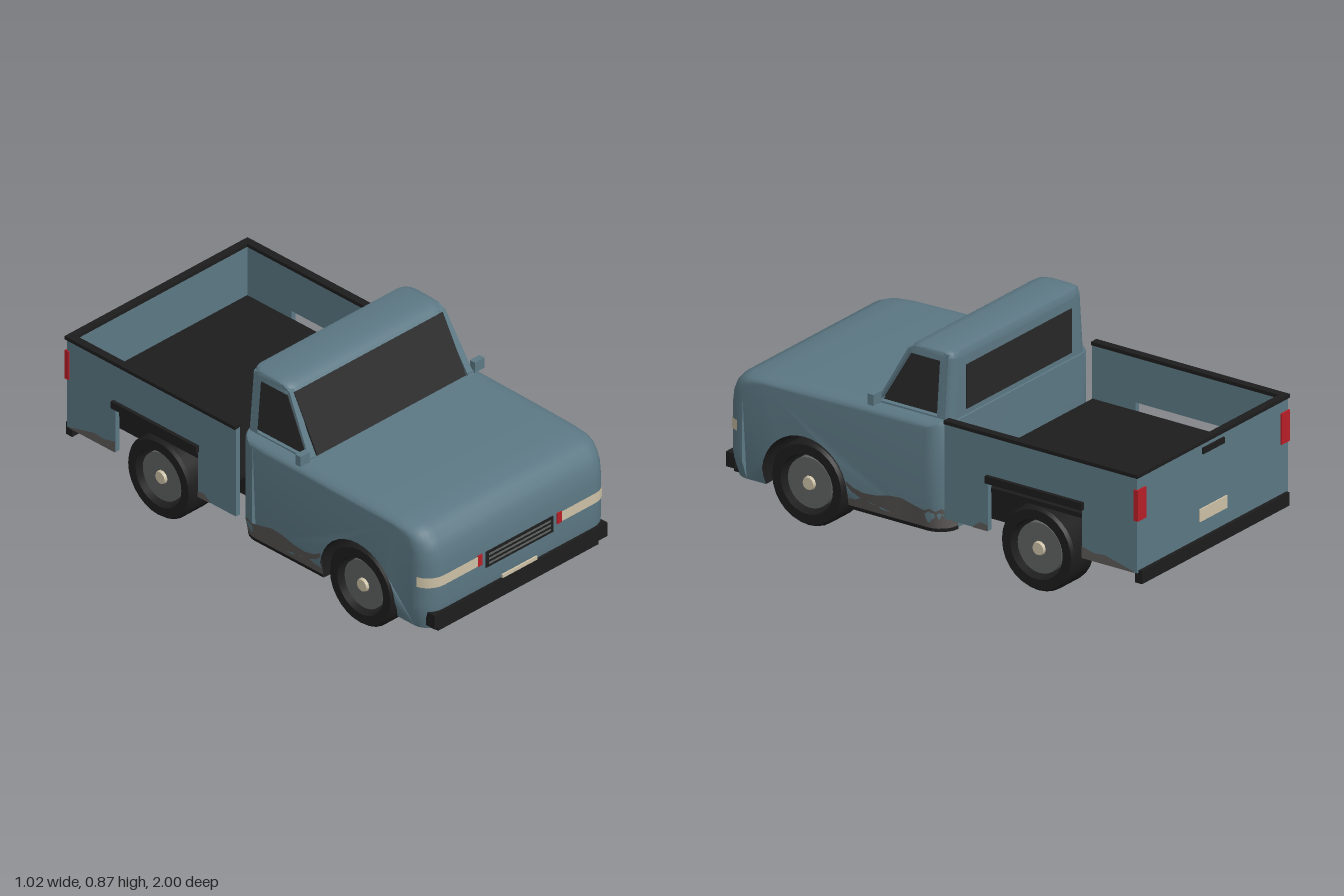
import * as THREE from 'three';
import { toCreasedNormals } from 'three/addons/utils/BufferGeometryUtils.js';

const paint = (name, color) => Object.assign(new THREE.MeshStandardMaterial({ color }), { name });
const clamp = THREE.MathUtils.clamp;
const FRONT = 0.99, REAR = -0.055, HALF = 0.5, R = 0.085;

export function createModel() {
  const truck = new THREE.Group();
  truck.name = 'pickupTruck';
  const blue = paint('bodyBlue', 0x5c7884), black = paint('trimBlack', 0x1d1d1d);
  const glass = paint('darkGlass', 0x272727), grey = paint('hubGrey', 0x606262);
  const cream = paint('lampCream', 0xcdc1a6), red = paint('lampRed', 0xb81e26);
  const dirt = paint('dirt', 0x5d5a58);

  const add = (name, geo, mat) => {
    const mesh = new THREE.Mesh(geo, mat);
    mesh.name = name;
    truck.add(mesh);
    return mesh;
  };
  // box given by its minimum and maximum corners
  const box = (name, mat, x0, x1, y0, y1, z0, z1) =>
    add(name, new THREE.BoxGeometry(x1 - x0, y1 - y0, z1 - z0)
      .translate((x0 + x1) / 2, (y0 + y1) / 2, (z0 + z1) / 2), mat);
  const boxPair = (name, mat, x0, x1, ...rest) => {
    box(name + 'Left', mat, x0, x1, ...rest);
    box(name + 'Right', mat, -x1, -x0, ...rest);
  };
  const bend = (geo, rule) => {
    const p = geo.attributes.position;
    for (let i = 0; i < p.count; i++) p.setX(i, p.getX(i) * rule(p.getY(i)));
    return geo;
  };
  const sillTaper = y => 1 - 0.04 * clamp((0.2 - y) / 0.07, 0, 1);
  const cabTaper = y => 1 - 0.2 * (y - 0.585);

  // side profile [z, y] swept across x, with rounded front, rear and top edges
  function sweep(profile, half, r, rFront, rRear, rTop, darkFrom = profile.length) {
    const zs = profile.map(p => p[0]), ys = profile.map(p => p[1]);
    const zMax = Math.max(...zs), zMin = Math.min(...zs), yMax = Math.max(...ys);
    const n = profile.length, steps = 8, pos = [], main = [], dark = [], rings = [];
    for (let k = -steps; k <= steps; k++) {
      if (k === 0) continue;
      const t = (Math.abs(k) - 1) / (steps - 1) * Math.PI / 2;
      const x = Math.sign(k) * (half - r + r * Math.sin(t)), d = 1 - Math.cos(t);
      rings.push(profile.map(([z, y]) => {
        const f = clamp(1 - (zMax - z) / 0.15, 0, 1), b = clamp(1 - (z - zMin) / 0.15, 0, 1);
        const u = clamp(1 - (yMax - y) / 0.15, 0, 1);
        return [x, y - rTop * d * u, z - rFront * d * f + rRear * d * b];
      }));
    }
    rings.forEach(ring => ring.forEach(p => pos.push(...p)));
    for (let j = 0; j < rings.length - 1; j++) for (let i = 0; i < n; i++) {
      const a = j * n + i, b = a + n, c = j * n + (i + 1) % n, d = c + n;
      (i >= darkFrom ? dark : main).push(a, b, d, a, d, c);
    }
    const last = (rings.length - 1) * n;
    const flat = rings[0].map(p => new THREE.Vector2(p[2], p[1]));
    for (const [a, b, c] of THREE.ShapeUtils.triangulateShape(flat, [])) {
      main.push(a, b, c, last + a, last + c, last + b);
    }
    const geo = new THREE.BufferGeometry();
    geo.setAttribute('position', new THREE.Float32BufferAttribute(pos, 3));
    geo.setIndex([...main, ...dark]);
    geo.addGroup(0, main.length, 0);
    geo.addGroup(main.length, dark.length, 1);
    return geo;
  }

  // hood and lower cab, with a wheel arch running through the full width
  const profile = [[0.97, 0.125], [0.985, 0.2], [FRONT, 0.24], [FRONT, 0.42], [0.982, 0.48], [0.965, 0.52],
    [0.935, 0.552], [0.89, 0.57], [0.8, 0.58], [0.6, 0.586], [0.3, 0.592], [0.1, 0.594],
    [-0.045, 0.594], [REAR, 0.58], [REAR, 0.4], [REAR, 0.2], [-0.05, 0.125]];
  const darkFrom = profile.length - 1;
  for (let i = 0; i <= 20; i++) {
    const a = Math.PI + 0.246 - (Math.PI + 0.492) * i / 20;
    profile.push([0.605 + 0.205 * Math.cos(a), 0.175 + 0.205 * Math.sin(a)]);
  }
  add('lowerBody', toCreasedNormals(bend(sweep(profile, HALF, R, R, R, 0.035, darkFrom), sillTaper), 0.6),
    [blue, black]);

  // thin skin following the body outline; points are [x, z, yTop, yBottom]
  function skin(name, mat, points) {
    for (const s of [1, -1]) {
      const pos = [], index = [];
      points.forEach(([x, z, top, low], i) => {
        pos.push(s * x * sillTaper(low), low, z, s * x * sillTaper(top), top, z);
        const a = 2 * i;
        if (i < points.length - 1) index.push(...(s > 0
          ? [a, a + 2, a + 3, a, a + 3, a + 1] : [a, a + 3, a + 2, a, a + 1, a + 3]));
      });
      const geo = new THREE.BufferGeometry();
      geo.setAttribute('position', new THREE.Float32BufferAttribute(pos, 3));
      geo.setIndex(index);
      geo.computeVertexNormals();
      add(name + (s > 0 ? 'Left' : 'Right'), geo, mat);
    }
  }
  const corner = (t, end, dir, e) => [HALF - R + (R + e) * Math.sin(t), end - dir * R + dir * (R + e) * Math.cos(t)];
  const arc = [0, 1, 2, 3, 4, 5, 6].map(i => i / 6 * Math.PI / 2);

  // dirt and black sill along the door and round the back of the cab
  const dirtTop = [[0.405, 0.245], [0.37, 0.225], [0.32, 0.215], [0.26, 0.22], [0.2, 0.235], [0.14, 0.24], [0.08, 0.225]];
  const wrap = [...arc].reverse().map(t => corner(t, REAR, -1, 0.003));
  skin('doorDirt', dirt, [...dirtTop.map(([z, y]) => [0.503, z, y, 0.138]),
    ...wrap.map(([x, z], i) => [x, z, 0.215 + 0.012 * (i % 2), 0.138])]);
  skin('sill', black, [[0.503, 0.405, 0.139, 0.124], ...wrap.map(([x, z]) => [x, z, 0.139, 0.124])]);

  // front lamps, grille, plate and bumper
  skin('headlampBand', cream, [[0.23, FRONT + 0.004, 0.37, 0.325],
    ...arc.slice(0, 6).map(t => [...corner(t, FRONT, 1, 0.004), 0.37, 0.325])]);
  boxPair('frontIndicator', red, 0.205, 0.23, 0.323, 0.372, 0.985, 0.995);
  box('grille', black, -0.185, 0.185, 0.298, 0.37, 0.985, 0.994);
  for (const y of [0.314, 0.334, 0.354]) box('grilleSlat', grey, -0.17, 0.17, y - 0.004, y + 0.004, 0.99, 0.996);
  box('frontPlate', cream, -0.095, 0.095, 0.207, 0.227, 0.985, 0.996);
  box('frontBumper', black, -0.475, 0.475, 0.15, 0.212, 0.955, 1);
  box('frontApron', black, -0.44, 0.44, 0.121, 0.15, 0.93, 0.985);

  // cab: roof, back wall, pillared sides and windows
  const roof = [[0.168, 0.832], [0.155, 0.85], [0.135, 0.863], [0.1, 0.869], [-0.02, 0.869], [-0.045, 0.862],
    [REAR, 0.84], [REAR, 0.832]];
  add('roof', toCreasedNormals(bend(sweep(roof, 0.45, 0.06, 0.02, 0.035, 0.012), cabTaper), 0.8), blue);
  const wall = [[-0.018, 0.585], [-0.018, 0.84], [REAR, 0.84], [REAR, 0.585]];
  add('cabBackWall', toCreasedNormals(bend(sweep(wall, 0.45, 0.045, 0, 0.035, 0), cabTaper), 0.6), blue);
  box('rearWindow', glass, -0.345, 0.345, 0.61, 0.795, -0.06, -0.054);

  // plate cut from a [z, y] outline; x is its outer face
  const outline = (pts, Type = THREE.Shape) => new Type(pts.map(p => new THREE.Vector2(...p)));
  function sidePlates(name, mat, pts, hole, x, depth, rule) {
    for (const s of [1, -1]) {
      const shape = outline(pts);
      if (hole) shape.holes.push(outline(hole, THREE.Path));
      const geo = new THREE.ExtrudeGeometry(shape, { depth, bevelEnabled: false })
        .rotateY(-Math.PI / 2).translate(s > 0 ? x : depth - x, 0, 0);
      if (rule) bend(geo, rule);
      geo.computeVertexNormals();
      add(name + (s > 0 ? 'Left' : 'Right'), geo, mat);
    }
  }
  sidePlates('cabSide', blue, [[0.3, 0.585], [0.162, 0.84], [0.13, 0.855], [-0.03, 0.855], [-0.03, 0.585]],
    [[0.284, 0.597], [0.148, 0.838], [-0.022, 0.838], [-0.022, 0.597]], 0.45, 0.03, cabTaper);
  sidePlates('sideWindow', glass, [[0.267, 0.605], [0.14, 0.828], [-0.019, 0.828], [-0.019, 0.605]],
    null, 0.444, 0.008, cabTaper);
  const shield = add('windshield', new THREE.BoxGeometry(0.816, 0.266, 0.008), glass);
  shield.position.set(0, 0.716, 0.229);
  shield.rotation.x = -Math.atan2(0.127, 0.232);
  boxPair('mirror', blue, 0.452, 0.505, 0.594, 0.64, 0.272, 0.3);
  boxPair('mirrorArm', blue, 0.42, 0.46, 0.585, 0.602, 0.278, 0.294);

  // cargo bed
  sidePlates('bedSide', blue, [[-0.062, 0.2], [-0.062, 0.602], [-0.98, 0.602], [-0.98, 0.2], [-0.72, 0.2],
    [-0.72, 0.41], [-0.27, 0.41], [-0.27, 0.2]].reverse(), null, 0.495, 0.022);
  boxPair('bedRail', black, 0.468, 0.502, 0.6, 0.615, -0.985, -0.062);
  boxPair('wheelFlare', black, 0.49, 0.511, 0.405, 0.436, -0.73, -0.265);
  box('tailgate', blue, -0.495, 0.495, 0.2, 0.602, -0.984, -0.962);
  box('tailgateRail', black, -0.502, 0.502, 0.6, 0.615, -0.99, -0.958);
  box('bedFloor', black, -0.474, 0.474, 0.355, 0.375, -0.965, -0.065);
  box('chassis', black, -0.325, 0.325, 0.168, 0.36, -0.965, -0.062);
  box('tailgateHandle', black, -0.07, 0.07, 0.557, 0.582, -0.992, -0.982);
  box('rearPlate', cream, -0.09, 0.09, 0.278, 0.33, -0.99, -0.982);
  boxPair('tailLamp', red, 0.445, 0.5, 0.42, 0.55, -0.991, -0.97);
  box('rearBumper', black, -0.485, 0.485, 0.155, 0.21, -1, -0.965);
  skin('bedDirtFront', dirt, [[0.498, -0.2, 0.205, 0.2], [0.498, -0.235, 0.23, 0.2], [0.498, -0.27, 0.225, 0.2]]);
  skin('bedDirtRear', dirt, [[0.498, -0.72, 0.25, 0.2], [0.498, -0.78, 0.235, 0.2],
    [0.498, -0.83, 0.24, 0.2], [0.498, -0.97, 0.205, 0.2]]);

  // wheels: hollow tyre, hub disc and cap
  const tyre = toCreasedNormals(new THREE.LatheGeometry([[0.125, -0.075], [0.165, -0.075], [0.175, -0.062],
    [0.175, 0.062], [0.165, 0.075], [0.125, 0.075], [0.125, -0.075]].map(p => new THREE.Vector2(...p)), 28), 0.5);
  const hub = new THREE.CylinderGeometry(0.105, 0.105, 0.11, 28);
  const cap = new THREE.CylinderGeometry(0.026, 0.03, 0.012, 10).translate(0, 0.061, 0);
  for (const [end, z] of [['front', 0.605], ['rear', -0.495]]) for (const s of [1, -1]) {
    const wheel = new THREE.Group();
    wheel.name = end + 'Wheel' + (s > 0 ? 'Left' : 'Right');
    for (const [name, geo, mat] of [['tyre', tyre, black], ['hub', hub, grey], ['hubCap', cap, cream]]) {
      const mesh = new THREE.Mesh(geo, mat);
      mesh.name = name;
      wheel.add(mesh);
    }
    wheel.rotation.z = -s * Math.PI / 2;
    wheel.position.set(s * 0.41, 0.175, z);
    truck.add(wheel);
  }
  return truck;
}
